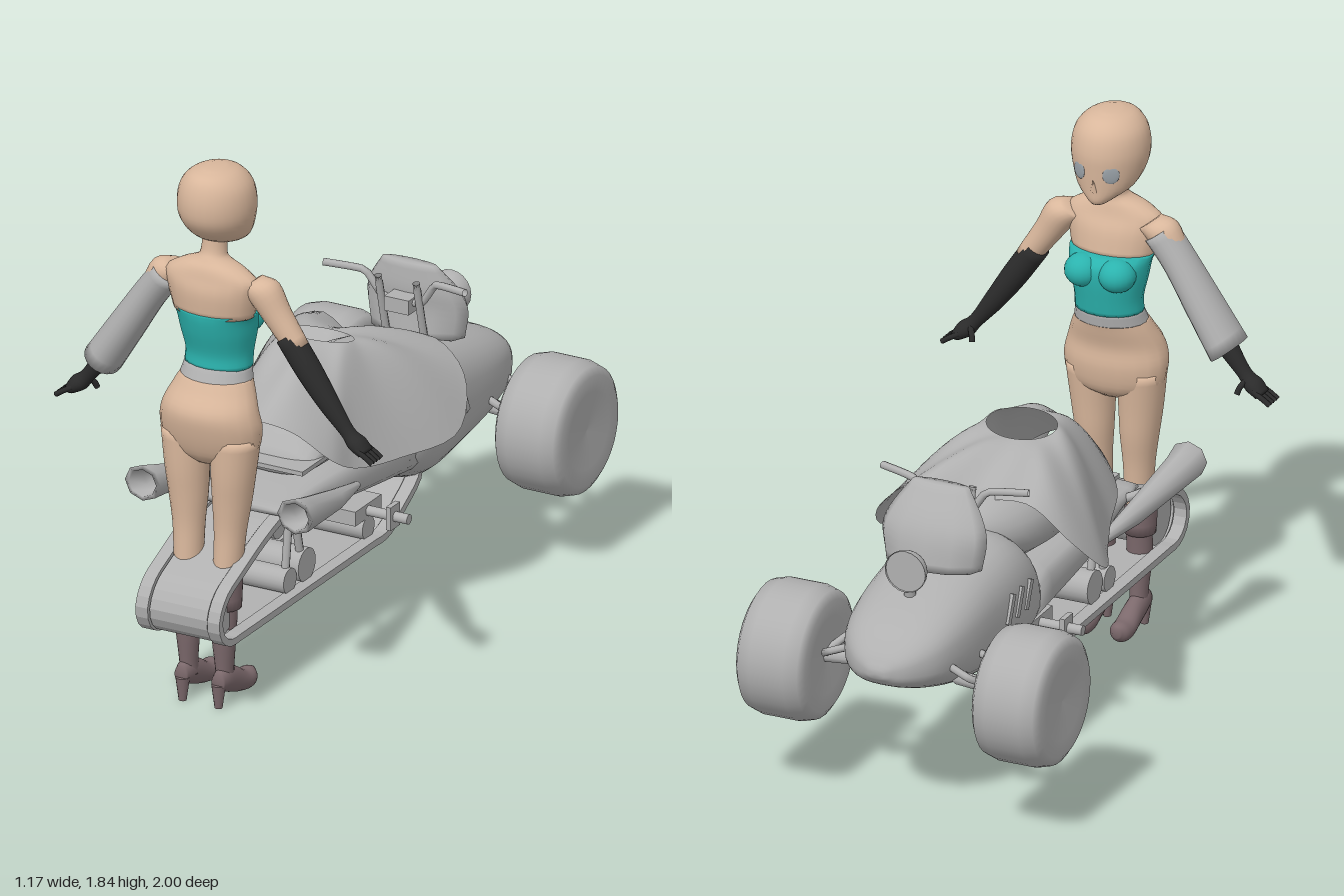
import * as THREE from 'three';

const V = (x, y, z) => new THREE.Vector3(x, y, z);
const mat = (name, color, side = THREE.FrontSide) => {
  const m = new THREE.MeshStandardMaterial({ color, side });
  m.name = name;
  return m;
};
const X = V(1, 0, 0), Y = V(0, 1, 0), Z = V(0, 0, 1);

// Lofts rings spanned by u and v through sections [x, y, z, radiusU, radiusV].
function loft(secs, u, v, { n = 20, sub = 4, pow = 1, cap = true } = {}) {
  const centre = new THREE.CatmullRomCurve3(secs.map(s => V(s[0], s[1], s[2])), false, 'catmullrom', 0.5);
  const size = new THREE.CatmullRomCurve3(secs.map(s => V(s[3], s[4], 0)), false, 'catmullrom', 0.5);
  const rows = (secs.length - 1) * sub, pos = [], idx = [];
  const bend = t => Math.sign(t) * Math.abs(t) ** pow;
  for (let i = 0; i <= rows; i++) {
    const c = centre.getPoint(i / rows), r = size.getPoint(i / rows);
    for (let j = 0; j < n; j++) {
      const a = j / n * Math.PI * 2;
      const p = c.clone().addScaledVector(u, bend(Math.cos(a)) * r.x).addScaledVector(v, bend(Math.sin(a)) * r.y);
      pos.push(p.x, p.y, p.z);
    }
  }
  const first = centre.getPoint(0), last = centre.getPoint(1);
  const flip = u.clone().cross(v).dot(last.clone().sub(first)) < 0;
  const tri = (a, b, c) => flip ? idx.push(a, c, b) : idx.push(a, b, c);
  for (let i = 0; i < rows; i++) for (let j = 0; j < n; j++) {
    const a = i * n + j, b = i * n + (j + 1) % n;
    tri(a, b, b + n); tri(a, b + n, a + n);
  }
  if (cap) {
    const k = pos.length / 3;
    pos.push(first.x, first.y, first.z, last.x, last.y, last.z);
    for (let j = 0; j < n; j++) {
      tri(k, (j + 1) % n, j);
      tri(k + 1, rows * n + j, rows * n + (j + 1) % n);
    }
  }
  const g = new THREE.BufferGeometry();
  g.setAttribute('position', new THREE.Float32BufferAttribute(pos, 3));
  g.setIndex(idx);
  g.computeVertexNormals();
  return g;
}

// Draped cover: a sheet running from the collar opening out to the hem.
function drape() {
  const half = [[0.2, 0.9, -0.29], [0.33, 0.8, -0.28], [0.39, 0.66, -0.14], [0.3, 0.63, 0.07],
    [0.23, 0.64, 0.24], [0.2, 0.7, 0.35], [0.1, 0.8, 0.42]];
  const pts = [[0, 0.86, -0.22], ...half, [0, 0.83, 0.45],
    ...half.slice().reverse().map(([x, y, z]) => [-x - 0.01, y, z])].map(p => V(...p));
  const hem = new THREE.CatmullRomCurve3(pts, true, 'centripetal');
  const n = 72, m = 12, pos = [], idx = [];
  for (let i = 0; i <= m; i++) for (let j = 0; j < n; j++) {
    const t = i / m, h = hem.getPoint(j / n), a = j / n * Math.PI * 2;
    const rx = Math.sin(a) * 0.12, rz = 0.08 - Math.cos(a) * 0.085, ry = 1.0 + (rz - 0.08) * 0.2;
    const fold = Math.sin(a * 7) * 0.012 * Math.sin(t * Math.PI);
    pos.push(rx + (h.x - rx) * t, ry + (h.y - ry) * t ** 1.6 + fold, rz + (h.z - rz) * t);
  }
  for (let i = 0; i < m; i++) for (let j = 0; j < n; j++) {
    const a = i * n + j, b = i * n + (j + 1) % n;
    idx.push(a, b + n, b, a, a + n, b + n);
  }
  const g = new THREE.BufferGeometry();
  g.setAttribute('position', new THREE.Float32BufferAttribute(pos, 3));
  g.setIndex(idx);
  g.computeVertexNormals();
  return g;
}

export function createModel() {
  const root = new THREE.Group(), rider = new THREE.Group(), bike = new THREE.Group();
  rider.name = 'rider'; bike.name = 'trackedBike';
  root.add(rider, bike);
  const skin = mat('skin', 0xd9b79c), teal = mat('teal', 0x2bb3ae), black = mat('black', 0x2b2b2b);
  const boot = mat('bootBrown', 0x7c696c), eye = mat('eyeGrey', 0x98a0a6);
  const grey = mat('grey', 0xb0b0b0, THREE.DoubleSide);
  const add = (parent, name, geo, m, x = 0, y = 0, z = 0) => {
    const mesh = new THREE.Mesh(geo, m);
    mesh.name = name; mesh.position.set(x, y, z);
    parent.add(mesh);
    return mesh;
  };
  const rod = (parent, name, pts, r, m = grey) => add(parent, name,
    new THREE.TubeGeometry(new THREE.CatmullRomCurve3(pts.map(p => V(...p)), false, 'catmullrom', 0.2), pts.length * 4, r, 8), m);
  const axle = (name, x, y, z, r, len) =>
    add(bike, name, new THREE.CylinderGeometry(r, r, len, 20).rotateZ(Math.PI / 2), grey, x, y, z);
  const box = (name, w, h, d, x, y, z) => add(bike, name, new THREE.BoxGeometry(w, h, d), grey, x, y, z);
  // upright loft rows: [y, radiusX, z, radiusZ]
  const upright = (rows, x = 0) => rows.map(([y, a, z, b]) => [x, y, z, a, b]);

  // torso and head, facing -z
  add(rider, 'hips', loft(upright([[0.83, 0.06, 0.78, 0.05], [0.87, 0.155, 0.775, 0.09], [0.95, 0.178, 0.78, 0.113],
    [1.02, 0.165, 0.785, 0.115], [1.08, 0.14, 0.76, 0.105], [1.115, 0.122, 0.745, 0.1]]), X, Z), skin);
  add(rider, 'waistBand', loft(upright([[1.11, 0.124, 0.745, 0.101], [1.155, 0.113, 0.73, 0.092]]), X, Z), grey);
  add(rider, 'bodice', loft(upright([[1.15, 0.116, 0.73, 0.092], [1.2, 0.116, 0.725, 0.095], [1.27, 0.13, 0.73, 0.11],
    [1.32, 0.138, 0.737, 0.114], [1.35, 0.146, 0.755, 0.098]]), X, Z), teal);
  add(rider, 'chest', loft(upright([[1.34, 0.143, 0.76, 0.09], [1.42, 0.16, 0.77, 0.086], [1.47, 0.165, 0.775, 0.07],
    [1.505, 0.115, 0.775, 0.06], [1.53, 0.055, 0.77, 0.048], [1.56, 0.042, 0.76, 0.042], [1.64, 0.04, 0.755, 0.04]]), X, Z), skin);
  add(rider, 'head', loft(upright([[1.548, 0.025, 0.65, 0.03], [1.565, 0.05, 0.67, 0.058], [1.6, 0.094, 0.71, 0.1],
    [1.66, 0.12, 0.736, 0.13], [1.72, 0.127, 0.742, 0.137], [1.78, 0.115, 0.745, 0.124],
    [1.82, 0.08, 0.75, 0.093], [1.838, 0.03, 0.75, 0.04]]), X, Z, { n: 28 }), skin);
  add(rider, 'nose', new THREE.ConeGeometry(0.014, 0.045, 8).rotateX(-0.35), skin, 0, 1.62, 0.611);

  for (const s of [1, -1]) {
    const eyeball = add(rider, 'eye', new THREE.SphereGeometry(1, 20, 12), eye, s * 0.056, 1.66, 0.623);
    eyeball.scale.set(0.028, 0.03, 0.005);
    eyeball.rotation.y = -s * 0.5;
    const bust = add(rider, 'bust', new THREE.SphereGeometry(0.062, 20, 14), teal, s * 0.06, 1.295, 0.66);
    bust.scale.set(1, 0.9, 1);

    // legs and heeled boots
    add(rider, 'leg', loft([[0.09, 0.93, 0.78, 0.083, 0.088], [0.085, 0.8, 0.785, 0.073, 0.078], [0.08, 0.7, 0.785, 0.064, 0.068],
      [0.076, 0.6, 0.79, 0.053, 0.056], [0.073, 0.5, 0.797, 0.048, 0.053], [0.07, 0.42, 0.805, 0.046, 0.05]]
      .map(([x, ...r]) => [s * x, ...r]), X, Z), skin);
    add(rider, 'bootCuff', loft(upright([[0.45, 0.057, 0.812, 0.06], [0.34, 0.052, 0.81, 0.054]], s * 0.07), X, Z), boot);
    add(rider, 'bootShaft', loft(upright([[0.36, 0.042, 0.81, 0.044], [0.26, 0.042, 0.815, 0.042], [0.13, 0.03, 0.81, 0.034],
      [0.08, 0.03, 0.805, 0.036]], s * 0.066), X, Z), boot);
    add(rider, 'bootFoot', loft([[0.09, 0.86, 0.022, 0.03], [0.09, 0.82, 0.031, 0.045], [0.07, 0.76, 0.034, 0.047],
      [0.045, 0.7, 0.038, 0.036], [0.044, 0.66, 0.034, 0.034], [0.05, 0.635, 0.014, 0.018]]
      .map(([y, z, a, b]) => [s * 0.068, y, z, a, b]), X, Y), boot);
    add(rider, 'bootHeel', new THREE.CylinderGeometry(0.024, 0.013, 0.08, 10), boot, s * 0.066, 0.04, 0.85);

    // arms, gloves and hands
    const across = V(0.8, s * 0.6, 0);
    const arm = rows => loft(rows.map(([x, y, r, d]) => [s * x, y, 0.755 - (x - 0.15) * 0.06, r, d ?? r]), across, Z);
    add(rider, 'upperArm', arm([[0.13, 1.46, 0.045], [0.18, 1.435, 0.056], [0.23, 1.36, 0.047], [0.3, 1.26, 0.039]]), skin);
    add(rider, 'glove', arm([[0.265, 1.3, 0.044], [0.34, 1.19, 0.043], [0.41, 1.09, 0.035], [0.475, 1.005, 0.024],
      [0.51, 0.97, 0.03, 0.036], [0.54, 0.943, 0.02, 0.036]]), black);
    if (s < 0) add(rider, 'sleeve', arm([[0.17, 1.435, 0.056, 0.065], [0.24, 1.345, 0.055, 0.065],
      [0.33, 1.21, 0.06, 0.075], [0.42, 1.075, 0.064, 0.085]]), grey);
    for (let i = 0; i < 4; i++) {
      const z = 0.702 + i * 0.02;
      rod(rider, 'finger', [[s * 0.52, 0.96, z], [s * 0.555, 0.94, z], [s * 0.582, 0.922, z]], 0.009, black);
    }
    rod(rider, 'thumb', [[s * 0.49, 0.99, 0.72], [s * 0.475, 0.965, 0.7], [s * 0.47, 0.945, 0.69]], 0.01, black);
  }

  // bodywork
  const along = rows => rows.map(([z, y, a, b]) => [0, y, z, a, b]);
  add(bike, 'hood', loft(along([[-0.17, 0.525, 0.19, 0.09], [-0.25, 0.575, 0.215, 0.185], [-0.36, 0.588, 0.225, 0.227],
    [-0.52, 0.588, 0.22, 0.208], [-0.72, 0.585, 0.21, 0.163], [-0.87, 0.58, 0.175, 0.112], [-0.96, 0.567, 0.105, 0.06],
    [-1, 0.56, 0.03, 0.016]]), X, Y, { n: 32, pow: 0.75 }), grey);
  add(bike, 'tank', loft(along([[-0.39, 0.78, 0.02, 0.03], [-0.22, 0.76, 0.15, 0.12], [0, 0.75, 0.19, 0.14],
    [0.3, 0.7, 0.16, 0.08], [0.4, 0.67, 0.14, 0.03]]), X, Y), grey);
  add(bike, 'belly', loft(along([[0.6, 0.6, 0.165, 0.012], [0.4, 0.59, 0.18, 0.045], [0.2, 0.57, 0.2, 0.075],
    [-0.22, 0.53, 0.2, 0.1]]), X, Y, { pow: 0.6 }), grey);
  add(bike, 'drapedCover', drape(), grey);
  box('rearRack', 0.32, 0.015, 0.28, 0, 0.69, 0.33);
  add(bike, 'cowl', loft([[0, 0.78, -0.57, 0.17, 0.09], [0, 0.88, -0.565, 0.185, 0.075], [0, 0.95, -0.545, 0.16, 0.06],
    [0, 1.035, -0.515, 0.1, 0.022]], X, Z, { n: 12 }), grey);
  add(bike, 'headlight', new THREE.SphereGeometry(0.072, 20, 10, 0, Math.PI * 2, 0, Math.PI / 2).rotateX(Math.PI / 2),
    grey, 0, 0.83, -0.785);
  add(bike, 'headlightLens', new THREE.CircleGeometry(0.07, 20).rotateY(Math.PI), grey, 0, 0.83, -0.78);
  rod(bike, 'headlightStem', [[0, 0.7, -0.74], [0, 0.8, -0.76]], 0.02);
  rod(bike, 'handlebar', [[-0.265, 1.01, -0.42], [-0.13, 1, -0.45], [-0.07, 0.92, -0.46], [0.07, 0.92, -0.46],
    [0.13, 1, -0.45], [0.255, 1.01, -0.42]], 0.013);
  box('handlebarClamp', 0.09, 0.05, 0.07, 0, 0.91, -0.46);

  // rear belt with side rails and drum
  const path = new THREE.CatmullRomCurve3([[0.92, 0.27], [0.85, 0.268], [0.4, 0.268], [0, 0.268], [-0.1, 0.27], [-0.2, 0.32],
    [-0.31, 0.4], [-0.3, 0.46], [-0.1, 0.5], [0.3, 0.56], [0.58, 0.575], [0.68, 0.55], [0.84, 0.485], [0.95, 0.43],
    [0.99, 0.36], [0.97, 0.3]].map(([z, y]) => V(0, y, z)), true, 'centripetal');
  const belt = (w, t) => {
    const sh = new THREE.Shape([[-w, -t], [w, -t], [w, t], [-w, t]].map(p => new THREE.Vector2(p[0] / 2, p[1] / 2)));
    return new THREE.ExtrudeGeometry(sh, { steps: 90, extrudePath: path });
  };
  add(bike, 'trackBelt', belt(0.21, 0.012), grey);
  axle('rearDrum', 0, 0.36, 0.885, 0.09, 0.2);
  axle('upperRoller', 0, 0.53, 0.55, 0.042, 0.24);
  axle('lowerRoller', 0, 0.315, 0.48, 0.043, 0.24);
  axle('mainRoller', 0, 0.33, 0.37, 0.057, 0.24);
  axle('frontRoller', 0, 0.31, -0.03, 0.04, 0.24);
  box('rollerBlock', 0.22, 0.07, 0.1, 0, 0.51, 0.41);
  box('axleBlock', 0.24, 0.05, 0.17, 0, 0.37, -0.03);
  axle('pegBar', 0, 0.37, -0.03, 0.017, 0.54);

  // tyre profile
  const tyre = new THREE.LatheGeometry([[0, -0.11], [0.13, -0.118], [0.185, -0.122], [0.212, -0.105], [0.225, -0.06],
    [0.225, 0.06], [0.212, 0.105], [0.185, 0.122], [0.13, 0.118], [0, 0.11]].map(p => new THREE.Vector2(...p)), 36).rotateZ(Math.PI / 2);

  for (const s of [1, -1]) {
    add(bike, 'trackRail', belt(0.045, 0.024), grey, s * 0.132, 0, 0);
    add(bike, 'frontWheel', tyre, grey, s * 0.418 - 0.01, 0.465, -0.745);
    rod(bike, 'wheelAxle', [[s * 0.15, 0.48, -0.745], [s * 0.32, 0.465, -0.745]], 0.025);
    for (const dz of [-0.08, 0.08])
      rod(bike, 'suspensionArm', [[s * 0.18, 0.55, -0.745 + dz], [s * 0.25, 0.52, -0.745 + dz], [s * 0.31, 0.47, -0.745]], 0.013);
    box('pegPlate', 0.018, 0.08, 0.06, s * 0.21, 0.37, -0.03);
    rod(bike, 'rollerFork', [[s * 0.1, 0.54, 0.42], [s * 0.1, 0.33, 0.37]], 0.014);
    rod(bike, 'rollerFork', [[s * 0.1, 0.54, 0.45], [s * 0.1, 0.31, 0.48]], 0.014);
    rod(bike, 'handlebarStem', [[s * 0.07, 1.0, -0.43], [s * 0.07, 0.8, -0.48]], 0.013);
    rod(bike, 'pipeStay', [[s * 0.15, 0.59, 0.5], [s * 0.27, 0.64, 0.56]], 0.014);
    // hollow exhaust pipe
    add(bike, 'exhaustPipe', loft([[0.21, 0.565, 0.2, 0.012, 0.012], [0.24, 0.595, 0.4, 0.035, 0.036], [0.275, 0.65, 0.66, 0.055, 0.055],
      [0.28, 0.665, 0.73, 0.066, 0.062], [0.28, 0.665, 0.732, 0.05, 0.047], [0.275, 0.655, 0.66, 0.04, 0.038]]
      .map(([x, ...r]) => [s * x, ...r]), X, Y, { n: 8, sub: 1 }), grey);
    // slanted side vents
    for (let i = 0; i < 3; i++)
      box('sideVent', 0.012, 0.1, 0.022, s * 0.224, 0.615, -0.34 - i * 0.065).rotation.x = 0.4;
  }
  return root;
}
